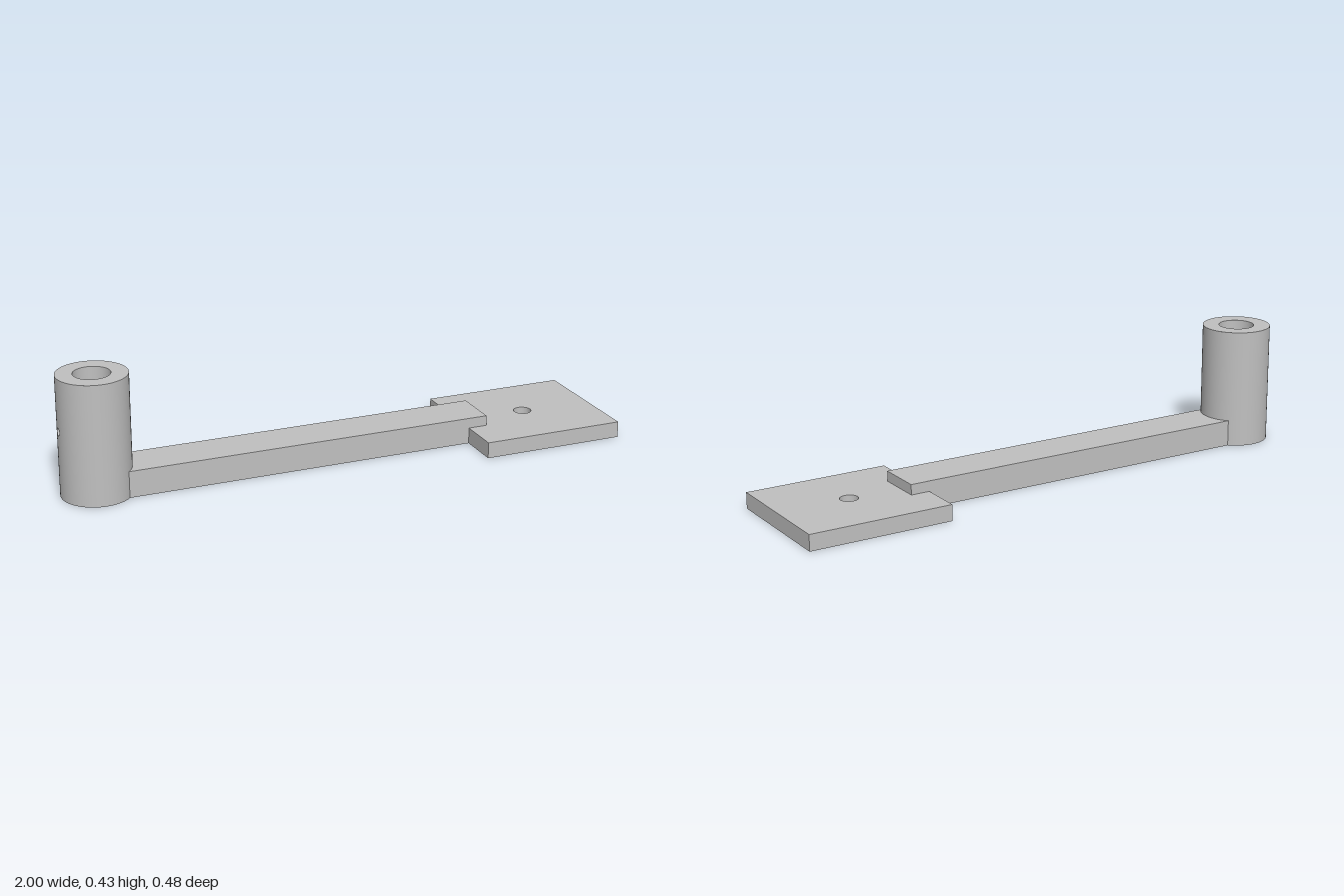
import * as THREE from 'three';
import { ParametricGeometry } from 'three/addons/geometries/ParametricGeometry.js';

const POST = { x: -0.877, outer: 0.123, inner: 0.064, height: 0.43, floor: 0.06 };
const PIN = { radius: 0.014, y: 0.24 }; // small cross hole on the -x side of the post
const PATCH = 0.4; // half angle of the wall strip that holds the cross hole

// point on a cylinder about the post axis; phi = 0 faces -x
const onPost = (r, phi, y, p) => p.set(POST.x - r * Math.cos(phi), y, r * Math.sin(phi));

// point on the rim of the cross hole where it meets radius r
const rim = (r, t) => [Math.asin(PIN.radius * Math.cos(t) / r), PIN.y + PIN.radius * Math.sin(t)];

// plain part of a post wall; dir = 1 faces outward, -1 inward
function wall(r, y0, y1, dir) {
  return new ParametricGeometry((u, v, p) => {
    const phi = dir * (PATCH + u * 2 * (Math.PI - PATCH));
    onPost(r, phi, y0 + v * (y1 - y0), p);
  }, 72, 1);
}

// strip of wall between the cross hole and a rectangular border
function holedWall(r, y0, y1, dir) {
  return new ParametricGeometry((u, v, p) => {
    const t = -dir * u * Math.PI * 2;
    const c = Math.cos(t), s = Math.sin(t), m = Math.max(Math.abs(c), Math.abs(s));
    const [phi, y] = rim(r, t);
    const edgeY = PIN.y + (s / m) * (s > 0 ? y1 - PIN.y : PIN.y - y0);
    onPost(r, phi + v * (PATCH * c / m - phi), y + v * (edgeY - y), p);
  }, 64, 8);
}

export function createModel() {
  const model = new THREE.Group();
  model.name = 'crankArm';
  const grey = new THREE.MeshStandardMaterial({ color: 0xc0c0c0 });
  grey.name = 'grey metal';

  const add = (name, geometry, parent = model) => {
    const mesh = new THREE.Mesh(geometry, grey);
    mesh.name = name;
    parent.add(mesh);
    return mesh;
  };

  // hollow post with a blind bore
  const post = new THREE.Group();
  post.name = 'post';
  model.add(post);
  const { x, outer, inner, height, floor } = POST;
  add('postOuterWall', wall(outer, 0, height, 1), post);
  add('postOuterHoleStrip', holedWall(outer, 0, height, 1), post);
  add('boreWall', wall(inner, floor, height, -1), post);
  add('boreHoleStrip', holedWall(inner, floor, height, -1), post);
  add('crossHole', new ParametricGeometry((u, v, p) => {
    const r = outer + v * (inner - outer);
    onPost(r, ...rim(r, u * Math.PI * 2), p);
  }, 64, 1), post);
  add('postTop', new THREE.RingGeometry(inner, outer, 72).rotateX(-Math.PI / 2).translate(x, height, 0), post);
  add('boreFloor', new THREE.CircleGeometry(inner, 72).rotateX(-Math.PI / 2).translate(x, floor, 0), post);
  add('postBottom', new THREE.CircleGeometry(outer, 72).rotateX(Math.PI / 2).translate(x, 0, 0), post);

  // arm with a lip resting on the plate
  const plateTop = 0.058, plateStart = 0.477, armTop = 0.095, armHalf = 0.084;
  const side = new THREE.Shape([
    [-0.788, 0], [plateStart, 0], [plateStart, plateTop],
    [0.546, plateTop], [0.546, armTop], [-0.788, armTop],
  ].map(([a, b]) => new THREE.Vector2(a, b)));
  add('arm', new THREE.ExtrudeGeometry(side, { depth: armHalf * 2, bevelEnabled: false })
    .translate(0, 0, -armHalf));

  // mounting plate with a through hole
  const half = 0.238;
  const outline = new THREE.Shape([
    [plateStart, -half], [1, -half], [1, half], [plateStart, half],
  ].map(([a, b]) => new THREE.Vector2(a, b)));
  outline.holes.push(new THREE.Path().absarc(0.736, 0, 0.032, 0, Math.PI * 2, true));
  add('mountingPlate', new THREE.ExtrudeGeometry(outline, { depth: plateTop, bevelEnabled: false, curveSegments: 40 })
    .rotateX(-Math.PI / 2));

  return model;
}
